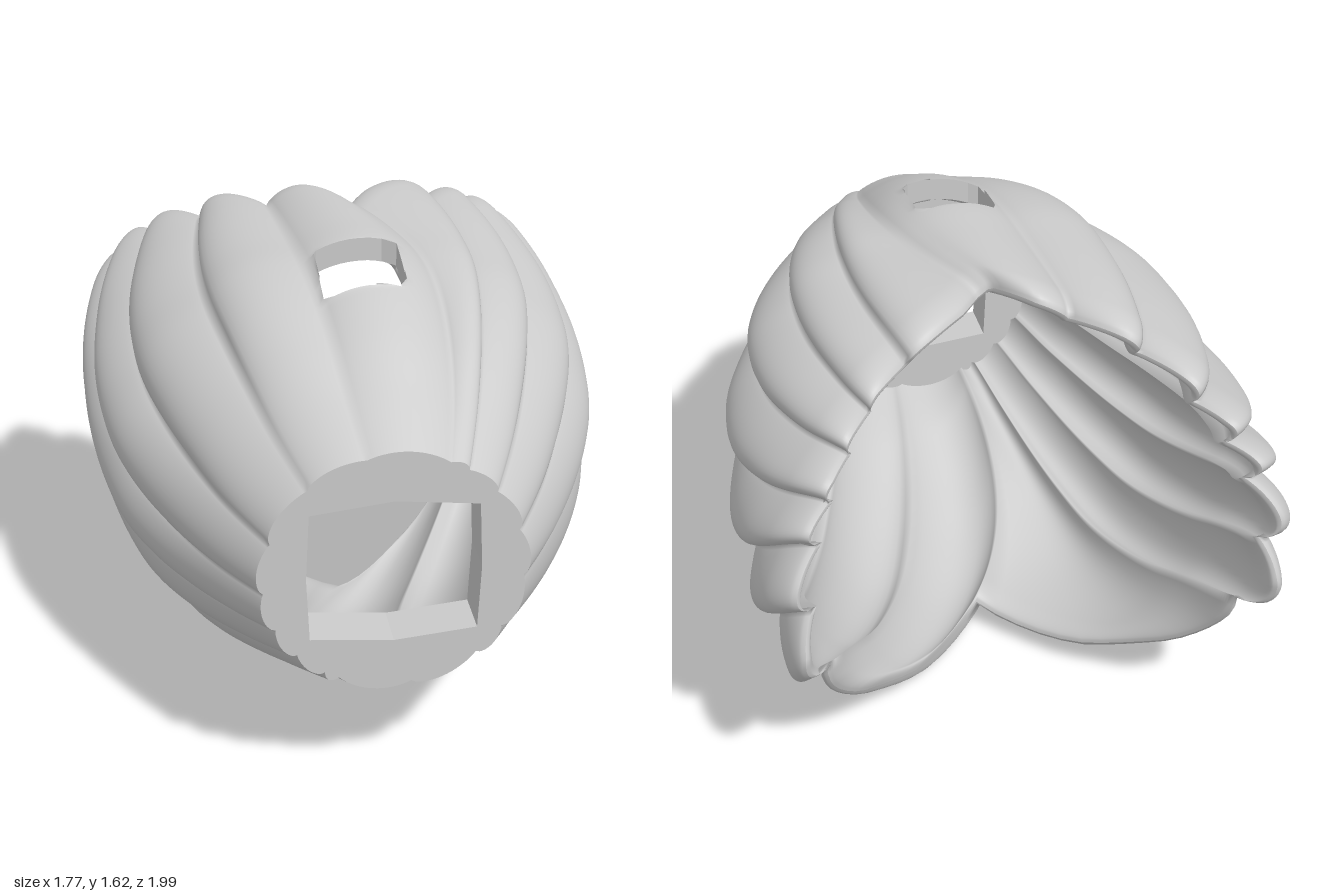
import * as THREE from 'three';

// Piecewise-linear lookup in [key, value] pairs sorted by key
function lookup(table, k) {
  for (let i = 1; i < table.length; i++) {
    const [a, va] = table[i - 1], [b, vb] = table[i];
    if (k <= b) return va + (vb - va) * Math.max(0, (k - a) / (b - a));
  }
  return table[table.length - 1][1];
}

// Smooth table through [z, radius] stations of the body
function profile(stations) {
  const curve = new THREE.SplineCurve(stations.map(([z, r]) => new THREE.Vector2(z, r)));
  return curve.getPoints(80).map((p) => [p.x, p.y]);
}
const AXIS_Y = 0.825;
const widths = profile([
  [-1, 0.82], [-0.8, 0.865], [-0.6, 0.885], [-0.4, 0.885], [-0.2, 0.878], [0, 0.855],
  [0.2, 0.815], [0.4, 0.745], [0.6, 0.655], [0.8, 0.55], [1, 0.43],
]);
const heights = profile([
  [-1, 0.72], [-0.6, 0.745], [-0.3, 0.77], [0, 0.775], [0.2, 0.77], [0.4, 0.73], [0.6, 0.65], [0.8, 0.54], [1, 0.43],
]);
const depths = profile([
  [-1, 0.7], [-0.6, 0.77], [-0.4, 0.825], [-0.2, 0.85], [0, 0.845], [0.2, 0.795],
  [0.4, 0.715], [0.6, 0.62], [0.8, 0.52], [1, 0.42],
]);

// Rear rim: angle from the top in degrees -> z
const rim = [
  [0, -0.3], [8, -0.41], [15, -0.47], [32, -0.61], [40, -0.7], [50, -0.81], [62, -0.88],
  [76, -0.94], [98, -1], [108, -0.96], [120, -0.87], [140, -0.67], [160, -0.41], [172, -0.22], [180, -0.1],
];

// Grooves between the petals, from the bottom seam round the left, top and right:
// [angle at the collar, angle at the rear rim]
const grooves = [
  [205, 180], [172, 112], [140, 86], [123, 67], [95, 56], [72, 45], [50, 36], [33, 24], [24, 3],
  [-12, -16], [-40, -31], [-70, -45], [-95, -56], [-115, -67], [-132, -86], [-148, -112], [-155, -180],
];

const PER = 16, ROWS = 90, COLS = (grooves.length - 1) * PER;
const WIN = { x: 0.135, z0: 0.17, z1: 0.43 };

// Point of the shell at column i, row t (0 collar, 1 rim); inner chooses the inside skin
function shellPoint(i, t, inner) {
  const p = Math.floor(i / PER), f = (i % PER) / PER;
  const [a0, b0] = grooves[p], [a1, b1] = grooves[p + 1];
  const front = a0 + (a1 - a0) * f, rear = b0 + (b1 - b0) * f;
  const deg = front + (rear - front) * Math.pow(t, 2.5);

  // petals hang over their lower neighbour, so the crest sits towards the bottom
  const up = b0 + b1 > 0 ? f : 1 - f;
  const lowest = p === 0 || p === grooves.length - 2;
  const top = Math.abs(b0 + b1) < 20;
  const swell = Math.pow(Math.sin(Math.PI * Math.pow(up, lowest || top ? 1 : 0.7)), 0.8);
  const notch = lowest ? Math.pow(up, 6) : 1 - swell;
  const z = 1 - t * (1 - lookup(rim, Math.abs(rear)) - 0.07 * notch);

  // ridge depth grows away from the collar and is gentler on top
  const a = THREE.MathUtils.degToRad(deg);
  const gentle = 1 - 0.35 * THREE.MathUtils.smoothstep(Math.cos(a), 0.3, 0.9);
  const depth = (0.02 + 0.06 * THREE.MathUtils.smoothstep(t, 0, 0.5)) * gentle;

  // the lip rounds off at the rim
  const e = Math.max(0, (t - 0.93) / 0.07);
  const round = Math.sqrt(Math.max(0, 1 - e * e));
  const thick = 0.04 + 0.04 * THREE.MathUtils.smoothstep(t, 0, 0.2);
  const inset = depth * (1 - swell) + thick * (inner ? 0.5 + 0.5 * round : 0.5 - 0.5 * round);

  const rx = lookup(widths, z) - inset;
  const ry = lookup(Math.cos(a) > 0 ? heights : depths, z) - inset;
  return new THREE.Vector3(rx * Math.sin(a), AXIS_Y + ry * Math.cos(a), z);
}

function inWindow(v) {
  return v.y > 1 && Math.abs(v.x) < WIN.x && v.z > WIN.z0 && v.z < WIN.z1;
}

// Slide a point inside the window to its nearest straight edge
function toWindowEdge(v) {
  const dx = WIN.x - Math.abs(v.x), d0 = v.z - WIN.z0, d1 = WIN.z1 - v.z;
  const m = Math.min(dx, d0, d1);
  if (m === dx) v.x = Math.sign(v.x || 1) * WIN.x;
  else v.z = m === d0 ? WIN.z0 : WIN.z1;
}

function buildShell() {
  const count = COLS * (ROWS + 1), outer = [], inner = [], inside = [];
  for (let j = 0; j <= ROWS; j++) {
    const t = 1 - Math.pow(1 - j / ROWS, 1.3);
    for (let i = 0; i < COLS; i++) {
      const o = shellPoint(i, t, false), n = shellPoint(i, t, true);
      inside.push(inWindow(o));
      if (inWindow(o)) {
        toWindowEdge(o);
        n.x = o.x;
        n.z = o.z;
      }
      outer.push(o);
      inner.push(n);
    }
  }
  const id = (i, j) => j * COLS + ((i + COLS) % COLS);
  const open = (i, j) => [id(i, j), id(i + 1, j), id(i, j + 1), id(i + 1, j + 1)].every((k) => inside[k]);

  const index = [], walls = [];
  const wall = (a, b) => walls.push(outer[a], outer[b], inner[b], outer[a], inner[b], inner[a]);
  for (let j = 0; j < ROWS; j++) {
    for (let i = 0; i < COLS; i++) {
      const a = id(i, j), b = id(i + 1, j), c = id(i, j + 1), d = id(i + 1, j + 1);
      if (open(i, j)) {
        if (!open(i - 1, j)) wall(a, c);
        if (!open(i + 1, j)) wall(b, d);
        if (!open(i, j - 1)) wall(a, b);
        if (!open(i, j + 1)) wall(c, d);
        continue;
      }
      index.push(a, c, b, b, c, d);
      index.push(a + count, b + count, c + count, b + count, d + count, c + count);
    }
  }
  // close the lip between the two skins
  for (let i = 0; i < COLS; i++) {
    const a = id(i, ROWS), b = id(i + 1, ROWS);
    index.push(a, a + count, b, b, a + count, b + count);
  }
  const shell = new THREE.BufferGeometry().setFromPoints([...outer, ...inner]);
  shell.setIndex(index);
  shell.computeVertexNormals();
  const frame = new THREE.BufferGeometry().setFromPoints(walls);
  frame.computeVertexNormals();
  return { shell, frame };
}

// Thick front plate following the collar outline, with a bulged square opening
function buildPlate() {
  const outline = [];
  for (let i = 0; i < COLS; i++) {
    const p = shellPoint(i, 0, false);
    outline.push(new THREE.Vector2(p.x, p.y));
  }
  const shape = new THREE.Shape(outline);
  shape.holes.push(new THREE.Path([
    [-0.265, 0.61], [-0.275, 0.83], [-0.265, 1.055], [0, 1.085],
    [0.265, 1.055], [0.275, 0.83], [0.265, 0.61], [0, 0.585],
  ].map(([x, y]) => new THREE.Vector2(x, y))));
  return new THREE.ExtrudeGeometry(shape, { depth: 0.16, bevelEnabled: false }).translate(0, 0, 0.84);
}

export function createModel() {
  const group = new THREE.Group();
  group.name = 'ribbedShell';
  const material = new THREE.MeshStandardMaterial({ color: 0xcccccc, side: THREE.DoubleSide });
  const add = (name, geometry) => {
    const mesh = new THREE.Mesh(geometry, material);
    mesh.name = name;
    group.add(mesh);
  };
  const { shell, frame } = buildShell();
  add('petalShell', shell);
  add('topWindowWalls', frame);
  add('frontPlate', buildPlate());
  return group;
}
